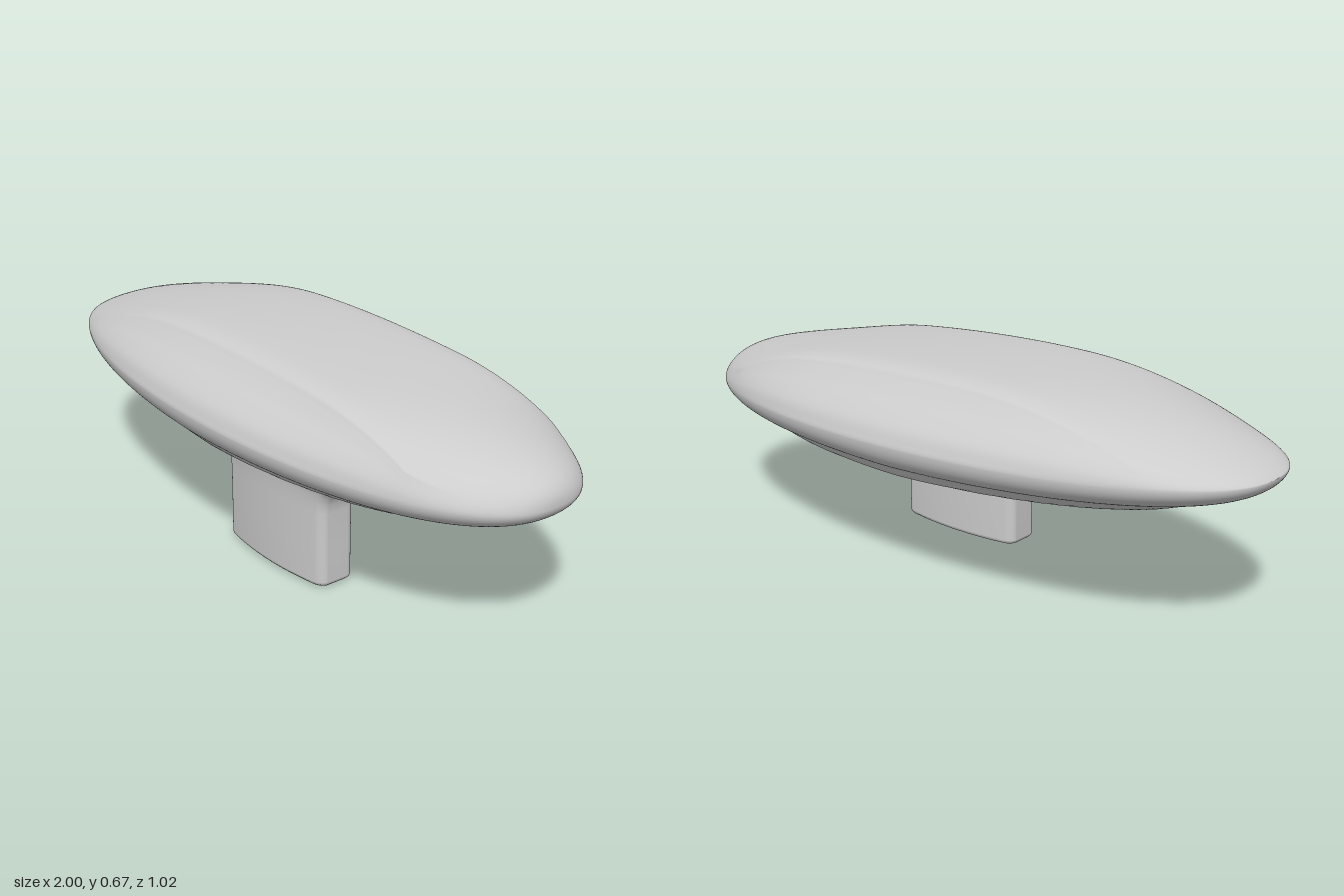
import * as THREE from 'three';

const { smoothstep, lerp, degToRad } = THREE.MathUtils;

// Skin a list of closed rings (each a list of [x, y, z]) with smooth normals
function skin(rings) {
  const n = rings[0].length, index = [];
  for (let i = 0; i < rings.length - 1; i++) {
    for (let j = 0; j < n; j++) {
      const a = i * n + j, b = i * n + (j + 1) % n;
      index.push(a, b, a + n, b, b + n, a + n);
    }
  }
  const geo = new THREE.BufferGeometry();
  geo.setAttribute('position', new THREE.Float32BufferAttribute(rings.flat(2), 3));
  geo.setIndex(index);
  geo.computeVertexNormals();
  return geo;
}

// Upper half section of the grip: [share of half width, share of height],
// from top centre over the crease to the rim
const CREASE = 0.64;
const upperProfile = new THREE.CatmullRomCurve3([
  [0, 1], [0.3, 0.99], [0.52, 0.96], [0.6, 0.92], [0.64, 0.88], [0.68, 0.79],
  [0.76, 0.62], [0.86, 0.44], [0.95, 0.24], [1, 0],
].map(([x, y]) => new THREE.Vector3(x, y, 0))).getPoints(54);

// Underside depth by distance from the centre (0..1): rolled rim, then a stepped flat plate
function undersideDepth(r) {
  return 0.8 * Math.sqrt(Math.max(0, 1 - r ** 8)) + 0.2 * (1 - smoothstep(r, 0.79, 0.86));
}

function gripGeometry() {
  const rings = [], steps = 110, lowerSteps = 48, halfLength = 1.03;
  for (let i = 0; i <= steps; i++) {
    const t = Math.sin((i / steps - 0.5) * Math.PI), u = t * halfLength;
    const k = Math.max(0, 1 - t * t);
    const width = 0.422 * Math.pow(k, 1 / 2.35);
    const rim = 0.475 - 0.025 * u;
    const top = 0.193 * Math.pow(k, 0.58 - 0.18 * u);
    const bottom = 0.13 * (1 - 0.15 * Math.abs(t));
    // The crease stays straight, then melts into the rounded ends
    const crease = Math.min(0.9, 0.27 / Math.max(width, 0.01));
    const fade = u < 0 ? smoothstep(-u, 0.25, 0.9) : smoothstep(u, 0.4, 0.95);
    const half = upperProfile.map(p => {
      const f = p.x < CREASE ? p.x / CREASE * crease
        : crease + (p.x - CREASE) / (1 - CREASE) * (1 - crease);
      const h = lerp(p.y, Math.pow(Math.max(0, 1 - f * f), 0.6), fade);
      return [f * width, rim + h * top];
    });
    for (let j = 1; j <= lowerSteps; j++) {
      const f = Math.cos(j / lowerSteps * Math.PI / 2);
      half.push([f * width, rim - bottom * undersideDepth(Math.sqrt(t * t + f * f * k))]);
    }
    const ring = half.map(([v, y]) => [u, y, v]);
    for (let j = half.length - 2; j > 0; j--) ring.push([u, half[j][1], -half[j][0]]);
    rings.push(ring);
  }
  return skin(rings);
}

// Rounded rectangle ring at height y, its long sides bowed outward
function stemRing(y, halfL, halfW, radius) {
  const ring = [], r = Math.min(radius, halfL, halfW);
  for (let c = 0; c < 4; c++) {
    const sx = c === 0 || c === 3 ? 1 : -1, sz = c < 2 ? 1 : -1;
    for (let s = 0; s <= 8; s++) {
      const a = (c + s / 8) * Math.PI / 2;
      ring.push([sx * (halfL - r) + r * Math.cos(a), y, -(sz * (halfW - r) + r * Math.sin(a))]);
    }
    // Points along the long sides
    for (let s = 1; s < 12 && c % 2 === 0; s++) {
      ring.push([sx * (halfL - r) * (1 - s / 6), y, -sz * halfW]);
    }
  }
  return ring.map(([x, h, z]) => [x, h, z * (1.16 - 0.35 * (x / Math.max(halfL, 0.01)) ** 2)]);
}

// Stem rising from a softened foot and flaring lengthwise into the grip
function stemGeometry() {
  const L = 0.228, W = 0.072;
  const levels = [ // height, growth along, growth across
    [0.003, -L, -W], [0.003, -0.03, -0.03], [0.003, -0.016, -0.016], [0.007, -0.006, -0.006],
    [0.013, -0.001, -0.001], [0.02, 0, 0], [0.13, 0, 0], [0.24, 0, 0], [0.27, 0.004, 0],
    [0.295, 0.014, 0.001], [0.315, 0.032, 0.002], [0.33, 0.06, 0.005],
    [0.342, 0.1, 0.01], [0.352, 0.15, 0.016], [0.365, 0.2, 0.022],
  ];
  return skin(levels.map(([y, l, w]) => stemRing(y, L + l, W + w, 0.028 + Math.max(0, w))));
}

export function createModel() {
  const grey = new THREE.MeshStandardMaterial({ color: 0xcccccc });
  grey.name = 'plain grey';
  const model = new THREE.Group();
  model.name = 'handleKnob';

  const grip = new THREE.Mesh(gripGeometry(), grey);
  grip.name = 'grip';
  const stem = new THREE.Mesh(stemGeometry(), grey);
  stem.name = 'stem';
  stem.position.set(0.156, 0, 0.168);

  // The whole handle is turned slightly about the vertical
  const turned = new THREE.Group();
  turned.name = 'turnedHandle';
  turned.rotation.y = -degToRad(16.5);
  turned.add(grip, stem);
  model.add(turned);
  return model;
}
